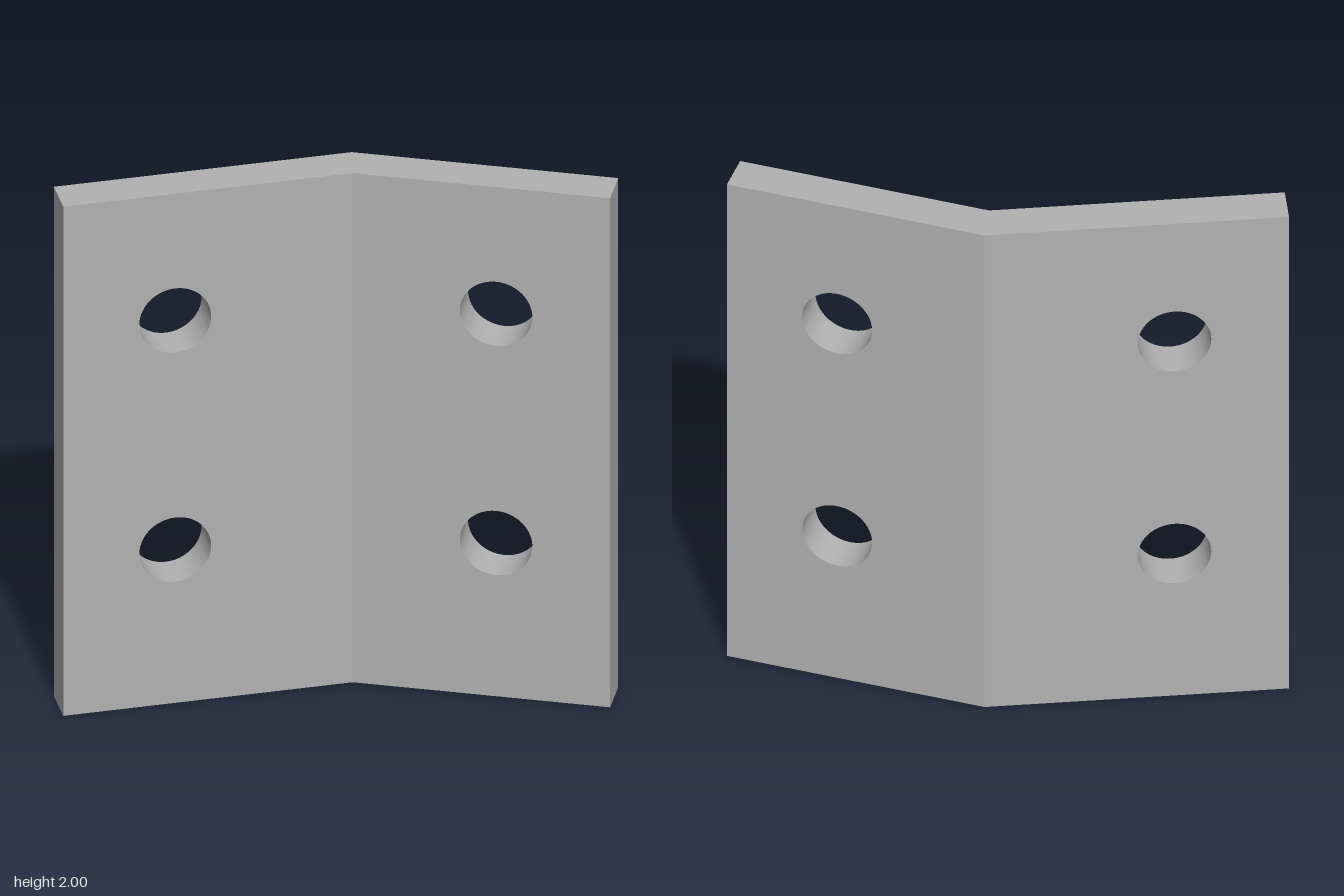
import * as THREE from 'three';
import { toCreasedNormals } from 'three/addons/utils/BufferGeometryUtils.js';

const HEIGHT = 2, THICK = 0.142, HOLE_RADIUS = 0.126;
const BEND = THREE.MathUtils.degToRad(24.4);
const MITRE = THICK * Math.tan(BEND / 2);

// Drilled plate running from the bend (u = 0) to u = end, front face at z = 0
function plateGeometry(end, holeU, mitre) {
  const a = Math.min(0, end), b = Math.max(0, end);
  const shape = new THREE.Shape();
  shape.moveTo(a, 0).lineTo(b, 0).lineTo(b, HEIGHT).lineTo(a, HEIGHT).closePath();
  for (const y of [0.602, 1.502]) {
    shape.holes.push(new THREE.Path().absarc(holeU, y, HOLE_RADIUS, 0, Math.PI * 2, true));
  }
  const geo = new THREE.ExtrudeGeometry(shape, { depth: THICK, bevelEnabled: false, curveSegments: 48 });
  geo.translate(0, 0, -THICK);

  // Leave out the hidden joint face and slant the joint edge to the mitre
  const p = geo.attributes.position, kept = [];
  const atBend = (i) => Math.abs(p.getX(i)) < 1e-6;
  for (let i = 0; i < p.count; i += 3) {
    if (atBend(i) && atBend(i + 1) && atBend(i + 2)) continue;
    for (let j = i; j < i + 3; j++) {
      const shift = atBend(j) ? -p.getZ(j) / THICK * mitre : 0;
      kept.push(p.getX(j) + shift, p.getY(j), p.getZ(j));
    }
  }
  const out = new THREE.BufferGeometry();
  out.setAttribute('position', new THREE.Float32BufferAttribute(kept, 3));
  return toCreasedNormals(out, 0.5);
}

export function createModel() {
  const group = new THREE.Group();
  group.name = 'bentBracket';
  const steel = new THREE.MeshStandardMaterial({ color: 0xb2b2b2 });
  steel.name = 'plain steel';

  // Straight half of the bracket
  const flat = new THREE.Mesh(plateGeometry(-1.015, -0.622, MITRE), steel);
  flat.name = 'flatPlate';

  // Half folded towards the front
  const wing = new THREE.Mesh(plateGeometry(0.897, 0.5, -MITRE), steel);
  wing.name = 'angledPlate';
  wing.rotation.y = -BEND;

  for (const plate of [flat, wing]) {
    plate.position.set(0.07, 0, -0.115);
    group.add(plate);
  }
  return group;
}
